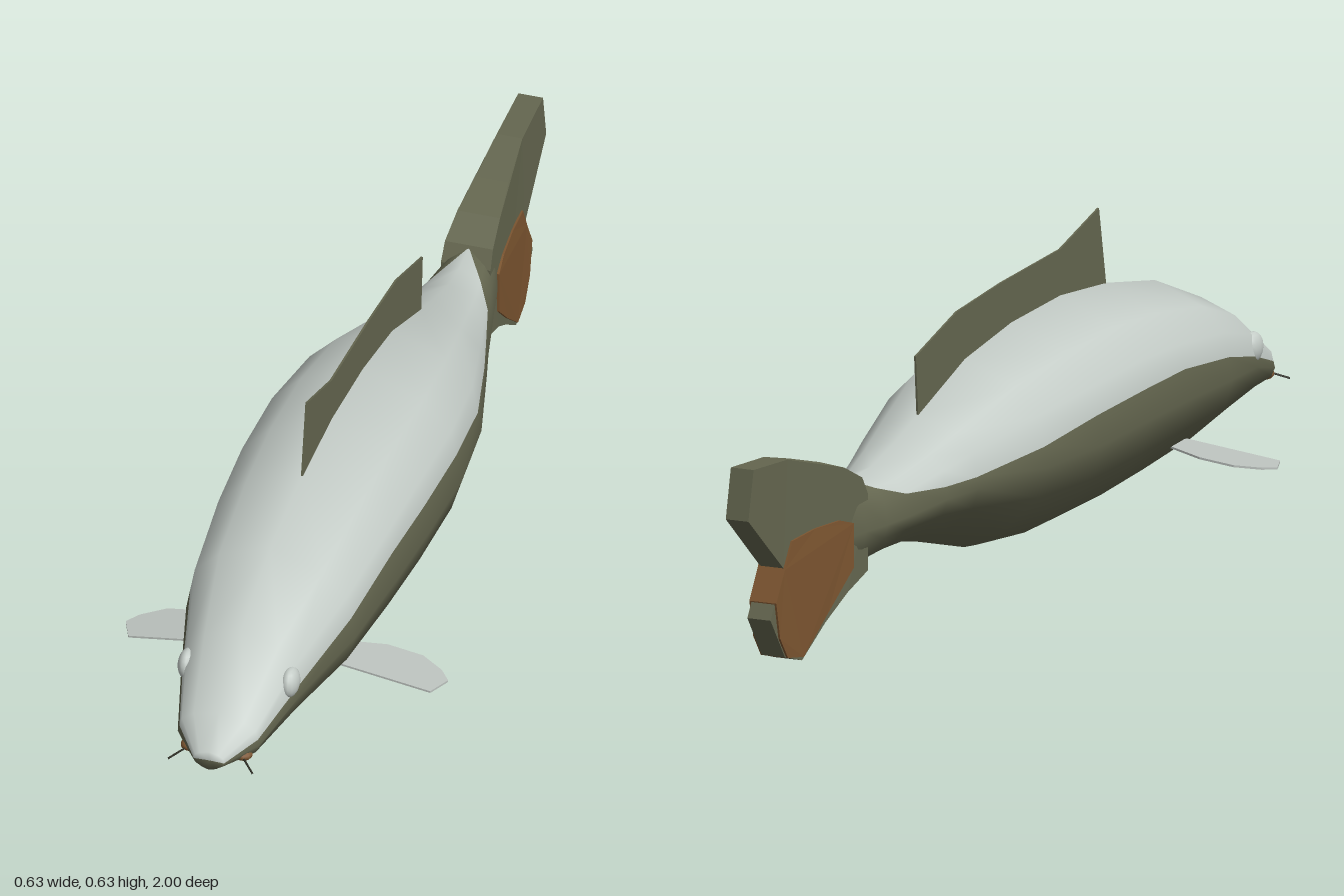
import * as THREE from 'three';
import { mergeVertices } from 'three/addons/utils/BufferGeometryUtils.js';

const mat = (name, color, side = THREE.FrontSide) => {
  const m = new THREE.MeshStandardMaterial({ color, side });
  m.name = name;
  return m;
};

// Piecewise-linear lookup in a list of [key, value] with falling keys
function lookup(table, k) {
  if (k >= table[0][0]) return table[0][1];
  for (let i = 1; i < table.length; i++) {
    const [k0, v0] = table[i - 1], [k1, v1] = table[i];
    if (k >= k1) return v0 + (v1 - v0) * (k0 - k) / (k0 - k1);
  }
  return table[table.length - 1][1];
}

// Cross-section: [height fraction, width fraction], back to belly
const SECTION = [[1, 0], [0.88, 0.61], [0.74, 0.9], [0.47, 1], [0.31, 0.9], [0.1, 0.46], [0.02, 0.15], [0, 0]];

// Stations, nose to tail: z, top, belly, half width, height fraction where the pale back ends
const STATIONS = [
  [1.0, 0.222, 0.22, 0.001, 0.5],
  [1.0, 0.24, 0.2, 0.03, 0.5],
  [0.94, 0.29, 0.18, 0.08, 0.58],
  [0.8, 0.385, 0.155, 0.118, 0.56],
  [0.62, 0.452, 0.125, 0.165, 0.6],
  [0.42, 0.485, 0.1, 0.184, 0.62],
  [0.25, 0.495, 0.082, 0.193, 0.61],
  [0.06, 0.48, 0.073, 0.195, 0.61],
  [-0.12, 0.445, 0.085, 0.177, 0.58],
  [-0.3, 0.373, 0.13, 0.13, 0.56],
  [-0.38, 0.34, 0.146, 0.108, 0.59],
  [-0.48, 0.308, 0.145, 0.083, 0.73],
  [-0.54, 0.303, 0.137, 0.068, 0.88],
  [-0.6, 0.31, 0.125, 0.055, 1],
  [-0.68, 0.31, 0.11, 0.032, 1],
  [-0.74, 0.3, 0.1, 0.004, 1],
];

// Lofted body; the pale back and olive flanks share smooth normals
function bodyGeometry() {
  const pos = [], back = [], flank = [];
  const rows = 12;
  for (const side of [1, -1]) {
    const base = pos.length / 3;
    for (const [z, top, bot, half, fb] of STATIONS) {
      const fs = [
        ...SECTION.slice(0, 4).map(([f]) => Math.max(f, fb)),
        ...SECTION.map(([f]) => Math.min(f, fb)),
      ];
      for (const f of fs) pos.push(side * half * lookup(SECTION, f), bot + f * (top - bot), z);
    }
    for (let i = 0; i < STATIONS.length - 1; i++) {
      for (let j = 0; j < rows - 1; j++) {
        const a = base + i * rows + j, b = a + 1, c = a + rows, d = c + 1;
        const out = j < 3 ? back : flank;
        if (side > 0) out.push(a, b, c, b, d, c);
        else out.push(a, c, b, b, c, d);
      }
    }
  }
  let g = new THREE.BufferGeometry();
  g.setAttribute('position', new THREE.Float32BufferAttribute(pos, 3));
  g.setIndex([...back, ...flank]);
  g = mergeVertices(g, 1e-5);
  g.clearGroups();
  g.addGroup(0, back.length, 0);
  g.addGroup(back.length, flank.length, 1);
  g.computeVertexNormals();
  return g;
}

// Upright plate drawn in (z, y), centred on x = 0
function plate(points, thickness) {
  const shape = new THREE.Shape(points.map(([z, y]) => new THREE.Vector2(z, y)));
  const g = new THREE.ExtrudeGeometry(shape, { depth: thickness, bevelEnabled: false });
  return g.rotateY(-Math.PI / 2).translate(thickness / 2, 0, 0);
}

// Tail plate, thinner toward the trailing edge
const TAIL_HALF = [[-0.56, 0.05], [-0.65, 0.043], [-0.72, 0.034], [-0.85, 0.025], [-1, 0.024]];
function tailPlate(points, extra) {
  const g = plate(points, 1);
  const p = g.attributes.position;
  for (let i = 0; i < p.count; i++) {
    p.setX(i, Math.sign(p.getX(i)) * (lookup(TAIL_HALF, p.getZ(i)) + extra));
  }
  g.computeVertexNormals();
  return g;
}

export function createModel() {
  const pale = mat('pale silver', 0xc4ccc7);
  const olive = mat('olive', 0x64664f);
  const brown = mat('rust brown', 0x7c5530);
  const dark = mat('dark barbel', 0x2c2c22);
  const paleThin = mat('pale fin', 0xbcc2be, THREE.DoubleSide);

  const group = new THREE.Group();
  group.name = 'fish';
  const add = (name, geo, material) => {
    const m = new THREE.Mesh(geo, material);
    m.name = name;
    group.add(m);
    return m;
  };

  add('body', bodyGeometry(), [pale, olive]);

  // Forked tail with a rust-coloured lower lobe
  add('tailFin', tailPlate([
    [-0.58, 0.28], [-0.6, 0.315], [-0.66, 0.345], [-0.74, 0.37], [-0.85, 0.395], [-0.98, 0.4], [-1, 0.305],
    [-0.865, 0.19], [-0.915, 0.1], [-0.86, 0.02], [-0.8, 0.003], [-0.72, 0.06], [-0.65, 0.105], [-0.58, 0.135],
  ], 0), olive);
  add('tailLowerLobe', tailPlate([
    [-0.635, 0.235], [-0.68, 0.248], [-0.76, 0.247], [-0.84, 0.238], [-0.867, 0.188],
    [-0.9, 0.13], [-0.885, 0.06], [-0.855, 0.018], [-0.8, 0.01], [-0.72, 0.075], [-0.635, 0.15],
  ], 0.004), brown);

  // Long dorsal fin
  add('dorsalFin', plate([
    [0.43, 0.47], [0.4, 0.632], [0.25, 0.582], [0.02, 0.562], [-0.15, 0.54], [-0.31, 0.485],
    [-0.3, 0.36], [-0.12, 0.43], [0.06, 0.46], [0.25, 0.475],
  ], 0.004), olive);

  for (const side of [1, -1]) {
    const label = side > 0 ? 'left' : 'right';

    // Pectoral fin: flat paddle drooping outward
    const paddle = new THREE.Shape([
      [0.1, 0.49], [0.18, 0.465], [0.25, 0.468], [0.295, 0.495], [0.315, 0.52], [0.295, 0.567], [0.1, 0.56],
    ].map(([x, z]) => new THREE.Vector2(side * x, z)));
    const fin = new THREE.ExtrudeGeometry(paddle, { depth: 0.004, bevelEnabled: false });
    fin.rotateX(Math.PI / 2);
    const p = fin.attributes.position;
    for (let i = 0; i < p.count; i++) p.setY(i, p.getY(i) + 0.184 - 0.118 * Math.abs(p.getX(i)));
    fin.computeVertexNormals();
    add(label + 'PectoralFin', fin, paleThin);

    // Eye bulge, barely standing out of the head
    const eye = add(label + 'Eye', new THREE.SphereGeometry(0.03, 14, 10), pale);
    eye.position.set(side * 0.1, 0.297, 0.815);
    eye.scale.set(0.6, 1, 1);

    // Lip corner and barbel
    const lip = add(label + 'LipCorner', new THREE.SphereGeometry(0.018, 10, 8), brown);
    lip.position.set(side * 0.052, 0.215, 0.952);
    lip.scale.set(1, 0.6, 1);
    const path = new THREE.LineCurve3(
      new THREE.Vector3(side * 0.05, 0.218, 0.96), new THREE.Vector3(side * 0.083, 0.202, 0.992));
    add(label + 'Barbel', new THREE.TubeGeometry(path, 1, 0.002, 5), dark);
  }
  return group;
}
